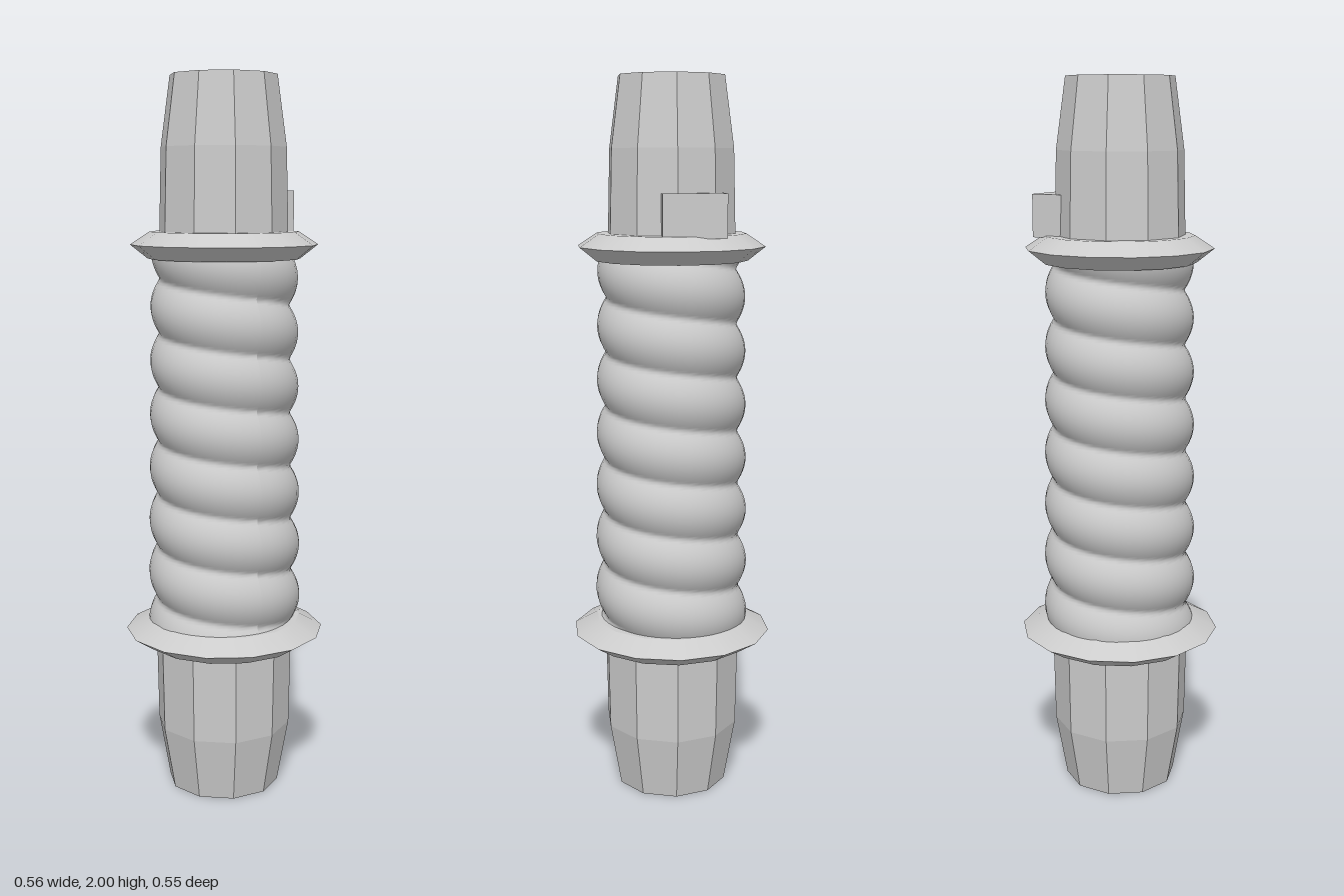
import * as THREE from 'three';

export function createModel() {
  const group = new THREE.Group();
  const grey = new THREE.MeshStandardMaterial({ color: 0xcccccc });
  grey.name = 'light grey';

  function add(name, geometry, parent = group) {
    const mesh = new THREE.Mesh(geometry, grey);
    mesh.name = name;
    parent.add(mesh);
    return mesh;
  }

  // Stack of frustums through [radius, y] rings, faceted or smooth around, capped at both ends
  function stack(name, rings, sides, faceted) {
    const part = new THREE.Group();
    part.name = name;
    const last = rings.length - 1;
    for (let i = 0; i < last; i++) {
      const [r0, y0] = rings[i], [r1, y1] = rings[i + 1];
      let g = new THREE.CylinderGeometry(r1, r0, y1 - y0, sides, 1, true);
      g.rotateY(Math.PI / 2).translate(0, (y0 + y1) / 2, 0);
      if (faceted) {
        g = g.toNonIndexed();
        g.computeVertexNormals();
      }
      add(name + 'Side', g, part);
    }
    for (const [[r, y], up] of [[rings[0], false], [rings[last], true]]) {
      const g = new THREE.CircleGeometry(r, sides);
      g.rotateX(up ? -Math.PI / 2 : Math.PI / 2).translate(0, y, 0);
      add(name + 'Cap', g, part);
    }
    group.add(part);
    return part;
  }

  // Ten-sided tapered ends
  stack('lowerHandle', [[0.158, 0], [0.19, 0.18], [0.195, 0.44]], 10, true).position.x = -0.003;
  stack('upperHandle', [[0.178, 1.57], [0.172, 1.81], [0.146, 2]], 10, true).position.x = -0.003;

  // Fourteen-sided bevelled collars
  stack('lowerCollar', [[0.225, 0.425], [0.28, 0.46], [0.215, 0.495]], 14, false);
  stack('upperCollar', [[0.21, 1.512], [0.258, 1.55], [0.205, 1.585]], 14, false);

  // Spiral grip: rounded coils winding around a slightly tapering core
  const pitch = 0.15, bottom = 0.493, height = 1.022;
  const around = 40, along = 150;
  const grip = new THREE.CylinderGeometry(1, 1, height, around, along, true);
  const p = grip.attributes.position;
  for (let i = 0; i < p.count; i++) {
    const a = ((i % (around + 1)) / around) * Math.PI * 2;
    const y = p.getY(i) + bottom + height / 2;
    const phase = (y - 1.035) / pitch + a / (Math.PI * 2);
    const u = 2 * (phase - Math.round(phase));
    const r = 0.216 - 0.014 * (y - 0.5) - 0.026 * u * u;
    p.setXYZ(i, r * Math.sin(a), y, r * Math.cos(a));
  }
  grip.computeVertexNormals();
  add('spiralGrip', grip);

  // Switch block beside the upper end
  add('switchBlock', new THREE.BoxGeometry(0.096, 0.115, 0.17)).position.set(0.148, 1.637, -0.043);

  return group;
}
